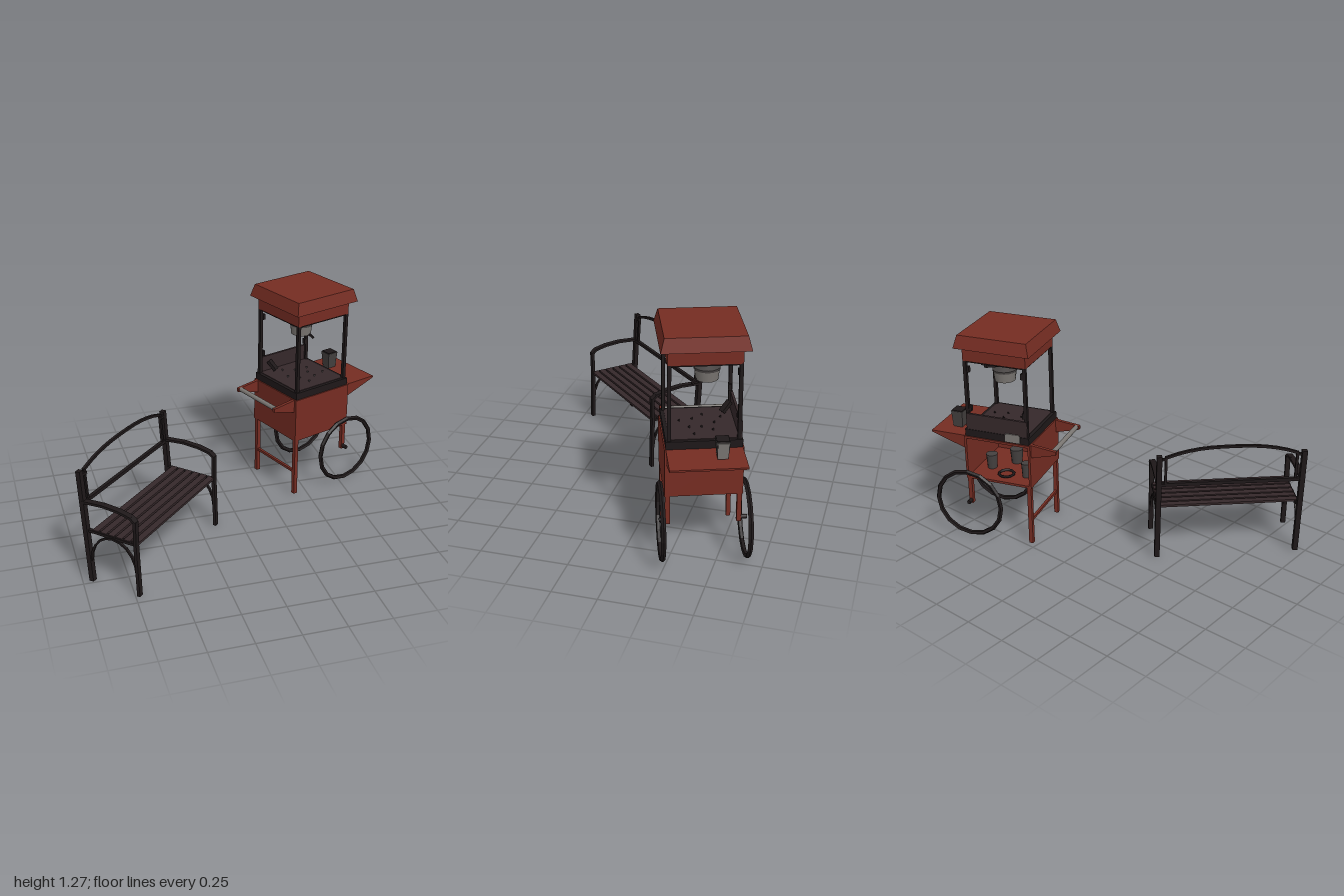
import * as THREE from 'three';

const mat = (name, color, side = THREE.FrontSide) => {
  const m = new THREE.MeshStandardMaterial({ color, side });
  m.name = name;
  return m;
};

export function createModel() {
  const red = mat('paintedRed', 0x752c22);
  const black = mat('blackIron', 0x1e1819);
  const brown = mat('darkWood', 0x35282a);
  const grey = mat('steel', 0x7b7773);
  const darkGrey = mat('darkSteel', 0x454140);

  const add = (group, name, geometry, material, x = 0, y = 0, z = 0) => {
    const mesh = new THREE.Mesh(geometry, material);
    mesh.name = name;
    mesh.position.set(x, y, z);
    group.add(mesh);
    return mesh;
  };
  const box = (group, name, material, w, h, d, x, y, z) =>
    add(group, name, new THREE.BoxGeometry(w, h, d), material, x, y, z);
  // Rectangular bar between two points
  const bar = (group, name, material, a, b, w, h = w) => {
    const p = new THREE.Vector3(...a), q = new THREE.Vector3(...b);
    const mesh = new THREE.Mesh(new THREE.BoxGeometry(w, h, p.distanceTo(q) + h * 0.4), material);
    mesh.name = name;
    mesh.position.copy(p).add(q).multiplyScalar(0.5);
    mesh.lookAt(q);
    group.add(mesh);
  };
  const chain = (group, name, material, pts, w, h) => {
    for (let i = 1; i < pts.length; i++) bar(group, name, material, pts[i - 1], pts[i], w, h);
  };
  const profile = (pts, depth) => {
    const shape = new THREE.Shape(pts.map(p => new THREE.Vector2(...p)));
    return new THREE.ExtrudeGeometry(shape, { depth, bevelEnabled: false }).translate(0, 0, -depth / 2);
  };
  // Four-sided frustum with half widths at the top and bottom
  const frustum = (top, bottom, h) =>
    new THREE.CylinderGeometry(top * Math.SQRT2, bottom * Math.SQRT2, h, 4, 1).rotateY(Math.PI / 4).toNonIndexed();
  const flat = g => { g.computeVertexNormals(); return g; };

  // ---------- Bench ----------
  const bench = new THREE.Group();
  bench.name = 'bench';
  bench.position.set(-0.57, 0, 0.27);
  bench.rotation.y = Math.PI / 4;

  for (let i = 0; i < 6; i++) box(bench, 'seatSlat', brown, 0.81, 0.014, 0.038, 0, 0.338, -0.085 + i * 0.05);
  for (const s of [-1, 1]) {
    const x = s * 0.408;
    bar(bench, 'backPost', black, [x, 0.025, -0.12], [x, 0.685, -0.163], 0.03, 0.028);
    bar(bench, 'seatSideRail', black, [x * 0.98, 0.333, -0.13], [x * 0.98, 0.333, 0.18], 0.02, 0.015);
    // Front leg bending over into the armrest
    chain(bench, 'frontLeg', black, [[x, 0.025, 0.187], [x, 0.33, 0.178], [x, 0.478, 0.18]], 0.028, 0.018);
    chain(bench, 'armrest', black,
      [[x, 0.478, 0.18], [x, 0.5, 0.155], [x, 0.516, 0.08], [x, 0.522, -0.02], [x, 0.512, -0.145]], 0.034, 0.014);
    // Arch between the legs under the seat
    const arch = [];
    for (let i = 0; i <= 10; i++) {
      const t = Math.PI * i / 10;
      arch.push([x, 0.15 + 0.178 * Math.sin(t), 0.03 - 0.145 * Math.cos(t)]);
    }
    chain(bench, 'legArch', black, arch, 0.014, 0.011);
    // Back frame side and its short links to the post
    bar(bench, 'backFrameSide', black, [s * 0.37, 0.505, -0.148], [s * 0.37, 0.68, -0.16], 0.014);
    for (const y of [0.505, 0.665]) bar(bench, 'backLink', black, [s * 0.365, y, -0.152], [x, y, -0.155], 0.014);
  }
  bar(bench, 'backLowerRail', black, [-0.4, 0.505, -0.148], [0.4, 0.505, -0.148], 0.02, 0.02);
  const top = [];
  for (let i = -6; i <= 6; i++) {
    const u = i / 6;
    top.push([u * 0.37, 0.735 - 0.055 * Math.abs(u) ** 2.6, -0.163]);
  }
  chain(bench, 'backArch', black, top, 0.016, 0.015);

  // ---------- Popcorn cart ----------
  const cart = new THREE.Group();
  cart.name = 'cart';
  cart.position.set(0.533, 0, -0.352);
  cart.rotation.y = Math.PI / 9;

  // Cabinet, open at the back
  box(cart, 'cabinetFront', red, 0.414, 0.272, 0.014, 0, 0.531, 0.2);
  for (const s of [-1, 1]) box(cart, 'cabinetSide', red, 0.014, 0.272, 0.4, s * 0.2, 0.531, -0.007);
  box(cart, 'cabinetFloor', red, 0.4, 0.014, 0.4, 0, 0.402, -0.007);
  box(cart, 'counter', red, 0.414, 0.014, 0.414, 0, 0.661, 0);
  for (const [x, z, r] of [[0.11, -0.06, 0.035], [-0.13, -0.1, 0.03], [0, 0.05, 0.04]])
    add(cart, 'storedTub', new THREE.CylinderGeometry(r, r * 0.8, 0.09, 10), darkGrey, x, 0.455, z);
  add(cart, 'coiledHose', new THREE.TorusGeometry(0.045, 0.008, 5, 10).rotateX(Math.PI / 2), black, -0.01, 0.418, -0.12);

  // Side tray and handle arms
  add(cart, 'sideTray', profile([[0.2, 0.585], [0.42, 0.658], [0.42, 0.668], [0.2, 0.668]], 0.4), red);
  for (const s of [-1, 1]) {
    add(cart, 'handleArm', profile([[-0.2, 0.668], [-0.357, 0.65], [-0.357, 0.628], [-0.2, 0.585]], 0.02),
      red, 0, 0, s * 0.18);
  }
  add(cart, 'handleBar', new THREE.CylinderGeometry(0.014, 0.014, 0.345, 10).rotateX(Math.PI / 2), grey, -0.338, 0.641, 0);

  // Legs, long at the handle end and short by the wheels
  for (const s of [-1, 1]) {
    box(cart, 'longLeg', red, 0.025, 0.375, 0.025, -0.19, 0.2125, s * 0.19);
    box(cart, 'shortLeg', red, 0.025, 0.175, 0.025, 0.19, 0.3125, s * 0.19);
    const wheel = new THREE.TorusGeometry(0.205, 0.014, 5, 16);
    add(cart, 'wheel', flat(wheel.toNonIndexed()), black, 0.19, 0.238, s * 0.226);
    add(cart, 'hub', new THREE.CylinderGeometry(0.012, 0.012, 0.04, 8).rotateX(Math.PI / 2), black, 0.19, 0.245, s * 0.215);
  }
  box(cart, 'legCrossbar', red, 0.016, 0.016, 0.36, -0.19, 0.175, 0);

  // Popcorn cabin
  box(cart, 'cabinBase', black, 0.4, 0.044, 0.4, 0, 0.69, 0);
  box(cart, 'cabinFloor', brown, 0.36, 0.004, 0.36, 0, 0.713, 0);
  box(cart, 'backBoard', brown, 0.38, 0.1, 0.014, 0, 0.76, -0.19);
  box(cart, 'backPlate', grey, 0.09, 0.05, 0.006, -0.1, 0.7, -0.203);
  for (const sx of [-1, 1]) for (const sz of [-1, 1])
    box(cart, 'cabinPost', black, 0.02, 0.43, 0.02, sx * 0.182, 0.92, sz * 0.182);
  for (const y of [0.84, 1.08]) for (const sx of [-1, 1])
    box(cart, 'hinge', black, 0.014, 0.035, 0.02, sx * 0.165, y, -0.178);
  box(cart, 'ceiling', black, 0.37, 0.008, 0.37, 0, 1.127, 0);
  box(cart, 'valance', red, 0.384, 0.084, 0.384, 0, 1.173, 0);
  add(cart, 'roof', flat(frustum(0.209, 0.229, 0.075)), red, 0, 1.251, 0);

  // Hanging kettle
  add(cart, 'kettle', new THREE.CylinderGeometry(0.068, 0.06, 0.06, 16), grey, 0.012, 1.01, -0.03);
  add(cart, 'kettleRim', new THREE.CylinderGeometry(0.07, 0.07, 0.012, 16), darkGrey, 0.012, 1.043, -0.03);
  add(cart, 'kettleLid', new THREE.CylinderGeometry(0.03, 0.065, 0.018, 16), darkGrey, 0.012, 1.057, -0.03);
  for (const [x, z] of [[0.012, -0.03], [-0.02, 0], [0.04, -0.05]])
    bar(cart, 'kettleRod', black, [x, 1.05, z], [x, 1.125, z], 0.009);
  bar(cart, 'kettleBracket', black, [0.012, 1.07, -0.03], [0.06, 1.11, -0.17], 0.018);
  box(cart, 'motorBox', darkGrey, 0.05, 0.025, 0.04, 0.08, 1.11, -0.12);
  bar(cart, 'kettleHandle', black, [0.03, 0.985, 0.03], [0.045, 0.965, 0.05], 0.012);

  // Loose crumbs and a scoop on the cabin floor
  for (let i = 0; i < 9; i++) {
    const a = i * 2.4, r = 0.05 + 0.011 * i;
    add(cart, 'crumb', new THREE.TetrahedronGeometry(0.009), black, r * Math.cos(a), 0.72, r * Math.sin(a));
  }
  bar(cart, 'scoop', black, [-0.1, 0.73, -0.13], [-0.12, 0.775, -0.17], 0.035, 0.02);

  // Napkin bin on the tray
  add(cart, 'bin', flat(frustum(0.036, 0.027, 0.1)), darkGrey, 0.295, 0.718, -0.08);
  const plate = box(cart, 'binFrontPlate', grey, 0.004, 0.09, 0.055, 0.329, 0.718, -0.08);
  plate.rotation.z = -0.09;
  box(cart, 'binTop', black, 0.066, 0.006, 0.066, 0.295, 0.77, -0.08);

  const model = new THREE.Group();
  model.name = 'benchAndPopcornCart';
  model.add(bench, cart);
  return model;
}
